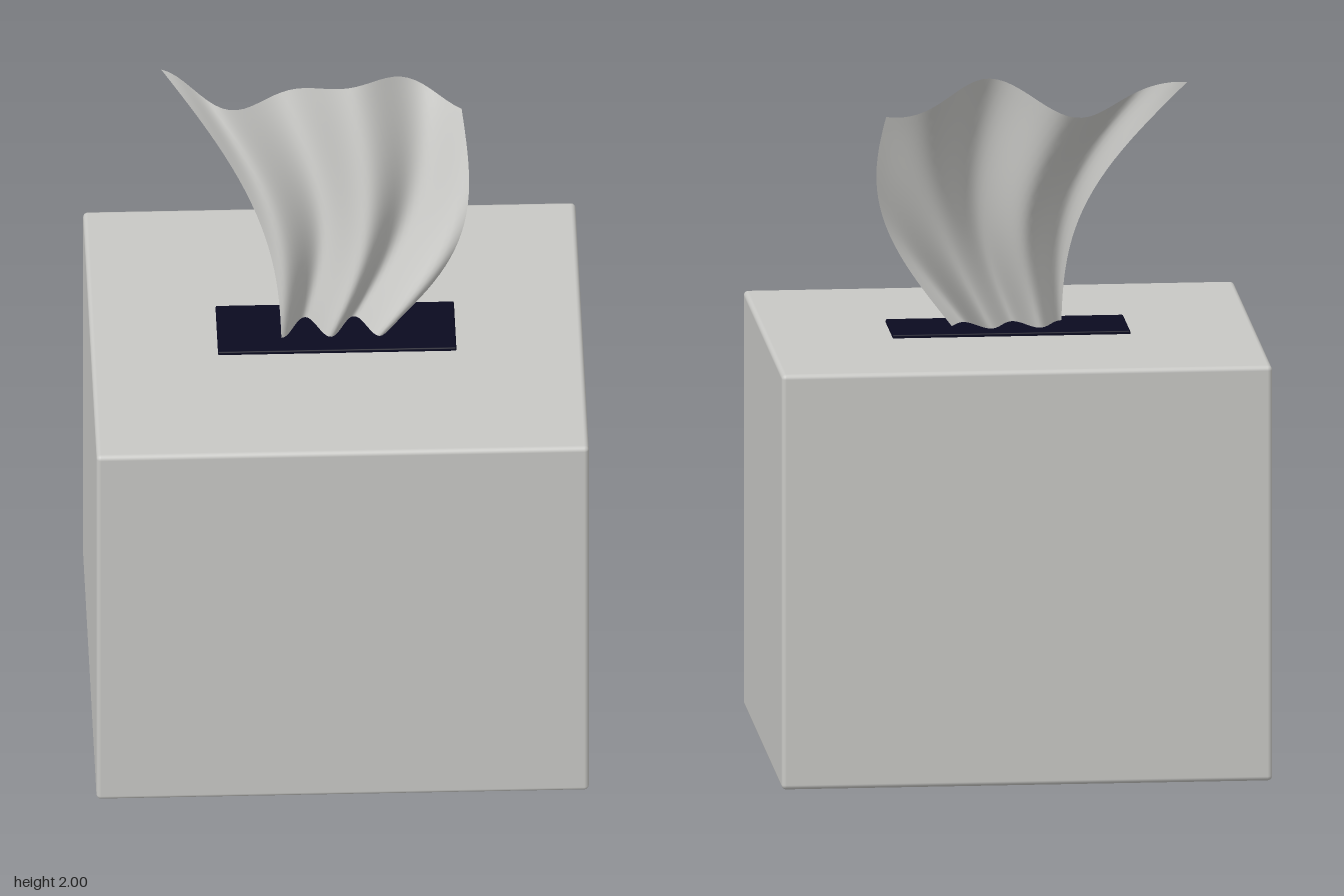
import * as THREE from 'three';
import { RoundedBoxGeometry } from 'three/addons/geometries/RoundedBoxGeometry.js';

export function createModel() {
  const group = new THREE.Group();
  const card = new THREE.MeshStandardMaterial({ color: 0xc8c8c5 });
  card.name = 'pale grey card';
  const dark = new THREE.MeshStandardMaterial({ color: 0x0a0a20 });
  dark.name = 'dark navy opening';
  const paper = new THREE.MeshStandardMaterial({ color: 0xc9c9c6, side: THREE.DoubleSide });
  paper.name = 'pale grey paper';

  const add = (name, geometry, material, y = 0) => {
    const mesh = new THREE.Mesh(geometry, material);
    mesh.name = name;
    mesh.position.y = y;
    group.add(mesh);
  };

  // Carton with softly rounded edges
  add('carton', new RoundedBoxGeometry(1.43, 1.23, 1.22, 3, 0.014), card, 0.615);

  // Dark slot plate, just proud of the lid
  add('slot', new RoundedBoxGeometry(0.692, 0.016, 0.232, 2, 0.004), dark, 1.232);

  // Pleated tissue: a sheet that fans out, sways sideways and leans back
  const sheet = new THREE.PlaneGeometry(1, 1, 40, 24);
  const pos = sheet.attributes.position;
  for (let i = 0; i < pos.count; i++) {
    const u = pos.getX(i) + 0.5; // across
    const v = pos.getY(i) + 0.5; // upwards
    const halfWidth = 0.16 + 0.275 * v;
    const sway = -0.065 * v + 0.1 * Math.sin(Math.PI * v);
    const pleat = Math.cos((2 * Math.PI * (u - 0.19 * v)) / 0.44);
    const x = sway + (2 * u - 1) * halfWidth;
    const y = 1.235 + v * (0.713 + 0.052 * Math.cos(3 * Math.PI * u));
    const z = -0.19 * Math.pow(v, 1.8) + (0.05 + 0.005 * v) * pleat;
    pos.setXYZ(i, x, y, z);
  }
  sheet.computeVertexNormals();
  add('tissue', sheet, paper);

  return group;
}
